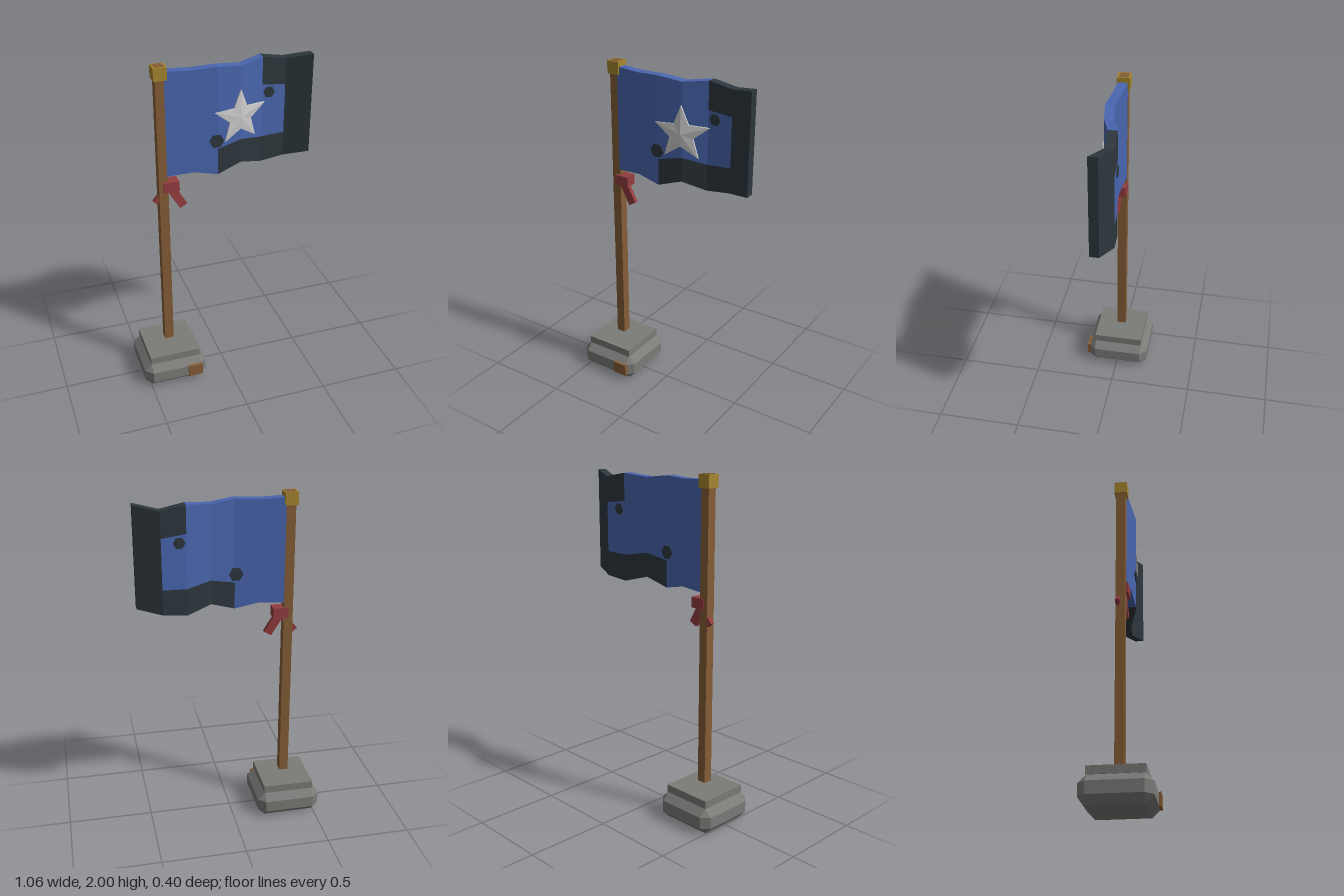
import * as THREE from 'three';
import { ConvexGeometry } from 'three/addons/geometries/ConvexGeometry.js';

const mat = (name, color, side = THREE.FrontSide) =>
  Object.assign(new THREE.MeshStandardMaterial({ color, flatShading: true, side }), { name });

// Flag columns: x, centre z, then heights of the four row lines from top to bottom
const COLUMNS = [
  [-0.32, -0.006, 1.97, 1.8, 1.5, 1.357],
  [-0.17, 0.004, 1.963, 1.8, 1.5, 1.365],
  [-0.03, 0.014, 1.97, 1.8, 1.492, 1.335],
  [0.11, -0.007, 1.953, 1.8, 1.521, 1.38],
  [0.25, -0.053, 1.97, 1.81, 1.497, 1.342],
  [0.39, -0.062, 1.943, 1.793, 1.502, 1.356],
  [0.53, -0.008, 1.97, 1.8, 1.5, 1.383],
];
const HALF = 0.0265;

// Centre depth of the flag at any x
function flagZ(x) {
  let i = 0;
  while (i < COLUMNS.length - 2 && x > COLUMNS[i + 1][0]) i++;
  const [x0, z0] = COLUMNS[i], [x1, z1] = COLUMNS[i + 1];
  return z0 + (z1 - z0) * (x - x0) / (x1 - x0);
}

function fromTriangles(points) {
  const g = new THREE.BufferGeometry();
  g.setAttribute('position', new THREE.Float32BufferAttribute(points.flat(), 3));
  g.computeVertexNormals();
  return g;
}

// All outer faces of the flag cells chosen by the test
function flagGeometry(test) {
  const pts = [];
  const quad = (a, b, c, d) => pts.push(a, b, c, a, c, d);
  const P = (i, j, s) => [COLUMNS[i][0], COLUMNS[i][2 + j], COLUMNS[i][1] + s * HALF];
  for (let i = 0; i < 6; i++) for (let j = 0; j < 3; j++) {
    if (!test(i, j)) continue;
    const k = i + 1, m = j + 1;
    quad(P(i, m, 1), P(k, m, 1), P(k, j, 1), P(i, j, 1));
    quad(P(k, m, -1), P(i, m, -1), P(i, j, -1), P(k, j, -1));
    if (j === 0) quad(P(i, 0, 1), P(k, 0, 1), P(k, 0, -1), P(i, 0, -1));
    if (j === 2) quad(P(i, 3, -1), P(k, 3, -1), P(k, 3, 1), P(i, 3, 1));
    if (i === 0) quad(P(0, m, -1), P(0, m, 1), P(0, j, 1), P(0, j, -1));
    if (i === 5) quad(P(6, m, 1), P(6, m, -1), P(6, j, -1), P(6, j, 1));
  }
  return fromTriangles(pts);
}

// Five-pointed star that follows the folds, with a slightly raised middle
function starGeometry(cx, cy, outer, inner) {
  const pts = [];
  const at = (n, lift) => {
    const r = n % 2 ? inner : outer, a = Math.PI / 2 + n * Math.PI / 5;
    const x = cx + r * Math.cos(a);
    return [x, cy + r * Math.sin(a), flagZ(x) + HALF + lift];
  };
  const middle = [cx, cy, flagZ(cx) + HALF + 0.014];
  for (let n = 0; n < 10; n++) {
    const a = at(n, 0.008), b = at(n + 1, 0.008), c = at(n, -0.002), d = at(n + 1, -0.002);
    pts.push(middle, a, b, a, c, d, a, d, b);
  }
  return fromTriangles(pts);
}

// Box with every edge and corner cut by c
function chamferedBox(hx, hy, hz, c) {
  const pts = [];
  for (const x of [-1, 1]) for (const y of [-1, 1]) for (const z of [-1, 1]) {
    pts.push(
      new THREE.Vector3(x * hx, y * (hy - c), z * (hz - c)),
      new THREE.Vector3(x * (hx - c), y * hy, z * (hz - c)),
      new THREE.Vector3(x * (hx - c), y * (hy - c), z * hz));
  }
  return new ConvexGeometry(pts);
}

export function createModel() {
  const stone = mat('stone grey', 0x7b7b78);
  const wood = mat('wood brown', 0x855d36);
  const gold = mat('dull gold', 0xa68630);
  const red = mat('ribbon red', 0x943d40);
  const blue = mat('flag blue', 0x4966af);
  const dark = mat('dark slate', 0x2d373d);
  const white = mat('star white', 0xcfcfcf, THREE.DoubleSide);

  const model = new THREE.Group();
  model.name = 'flagOnStand';
  const add = (name, geometry, material, x = 0, y = 0, z = 0) => {
    const mesh = new THREE.Mesh(geometry, material);
    mesh.name = name;
    mesh.position.set(x, y, z);
    model.add(mesh);
    return mesh;
  };
  const box = (name, material, w, h, d, x, y, z) =>
    add(name, new THREE.BoxGeometry(w, h, d), material, x, y, z);
  const X = -0.342, Z = -0.007;

  // Stone stand with a wooden tag
  add('standBody', chamferedBox(0.192, 0.0775, 0.192, 0.043), stone, X, 0.0775, Z);
  box('standSlab', stone, 0.306, 0.046, 0.306, X, 0.178, Z);
  box('standTag', wood, 0.088, 0.074, 0.03, -0.227, 0.08, 0.182);

  // Pole, showing through the open top of its cap
  box('pole', wood, 0.054, 1.769, 0.054, X, 1.1155, Z);
  box('poleCap', gold, 0.075, 0.073, 0.075, X, 1.9615, Z);

  // Ribbon knot and its two tails
  box('ribbonKnot', red, 0.09, 0.061, 0.072, -0.299, 1.293, -0.001);
  const front = box('ribbonTailFront', red, 0.05, 0.15, 0.025, -0.268, 1.222, 0.008);
  front.rotation.set(-0.05, 0, 0.53);
  const back = box('ribbonTailBack', red, 0.036, 0.14, 0.024, -0.339, 1.235, -0.021);
  back.rotation.z = -0.7;

  // Wavy flag: blue field and dark border
  const isBlue = (i, j) => i < 2 || (i < 4 && j < 2) || (i === 4 && j === 1);
  add('flagField', flagGeometry(isBlue), blue);
  add('flagBorder', flagGeometry((i, j) => !isBlue(i, j)), dark);
  add('flagStar', starGeometry(0.108, 1.66, 0.163, 0.07), white);

  // Hexagonal studs passing through the cloth
  for (const [x, y, r] of [[-0.037, 1.541, 0.042], [0.291, 1.762, 0.034]]) {
    const hex = new THREE.CylinderGeometry(r, r, 0.064, 6, 1, false, Math.PI / 2);
    add('flagStud', hex.rotateX(Math.PI / 2), dark, x, y, flagZ(x));
  }
  return model;
}
